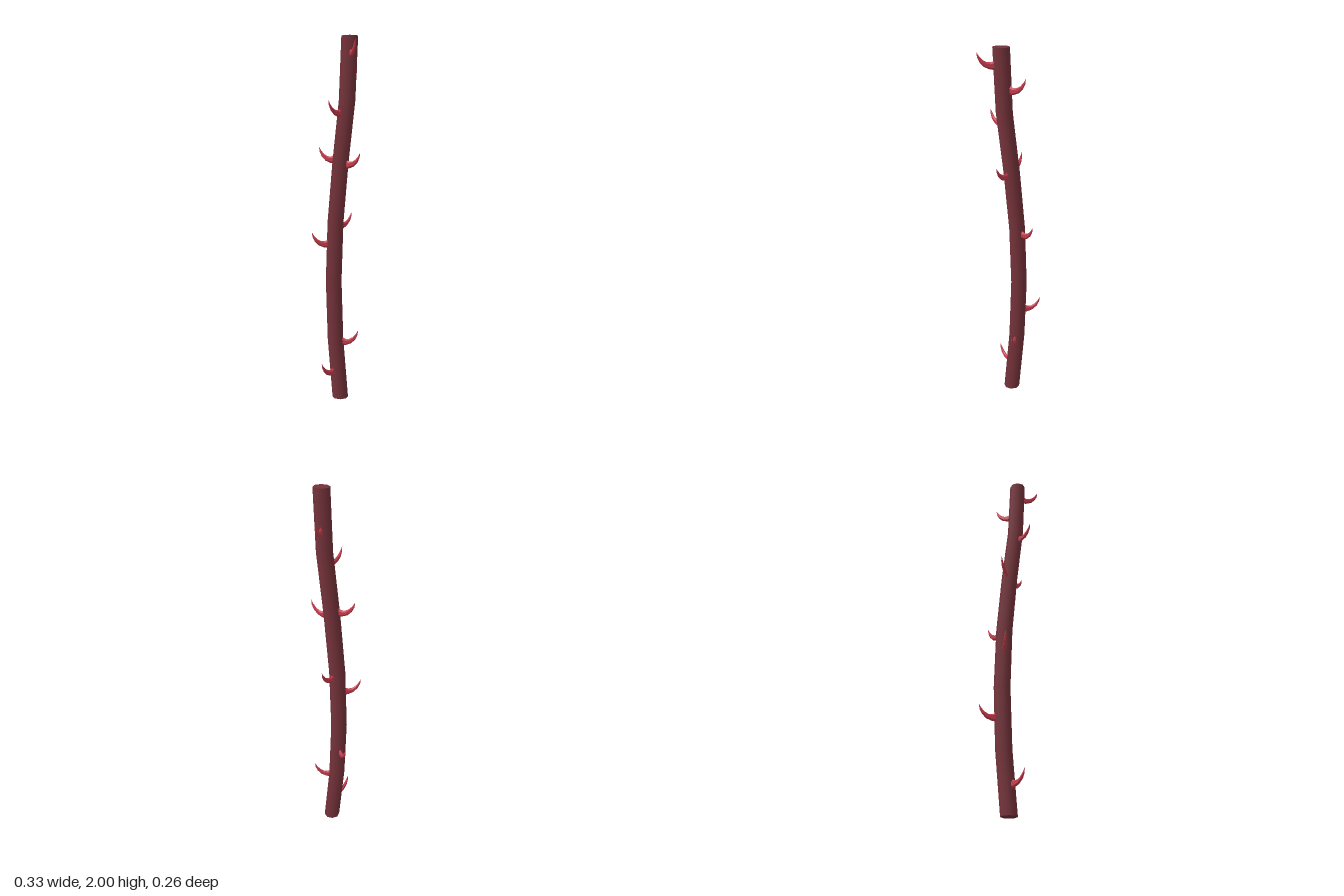
import * as THREE from 'three';

const stemMaterial = new THREE.MeshStandardMaterial({ color: 0x74323a });
stemMaterial.name = 'dark bark red';
const thornMaterial = new THREE.MeshStandardMaterial({ color: 0xc43c4c, flatShading: true });
thornMaterial.name = 'thorn red';

// Sideways offset of the stem at seven even heights, bottom to top
const BEND = [-0.008, -0.046, -0.06, -0.045, -0.006, 0.044, 0.063];

function stemX(y) {
  const t = Math.min(Math.max(y / 2, 0), 1) * 6;
  const i = Math.min(Math.floor(t), 5);
  return THREE.MathUtils.lerp(BEND[i], BEND[i + 1], t - i);
}

// Eight-sided stem, sheared ring by ring along the bend
function makeStem() {
  const geometry = new THREE.CylinderGeometry(0.044, 0.044, 2, 8, 6);
  geometry.translate(0, 1, 0);
  const p = geometry.attributes.position;
  for (let i = 0; i < p.count; i++) p.setX(i, p.getX(i) + stemX(p.getY(i)));
  const mesh = new THREE.Mesh(geometry, stemMaterial);
  mesh.name = 'stem';
  return mesh;
}

// Upward-hooked thorn pointing along +x: [distance, height, half height, half width]
function makeThornGeometry() {
  const rings = [
    [0.034, 0, 0.024, 0.009],
    [0.058, -0.003, 0.018, 0.009],
    [0.082, 0.003, 0.014, 0.009],
    [0.104, 0.02, 0.01, 0.008],
    [0.119, 0.042, 0.006, 0.005],
    [0.128, 0.067, 0, 0],
  ];
  const sides = 6;
  const positions = [];
  const index = [];
  rings.forEach(([x, y, h, w], i) => {
    const a = rings[Math.max(i - 1, 0)];
    const b = rings[Math.min(i + 1, rings.length - 1)];
    const slope = i === 0 ? 0 : Math.atan2(b[1] - a[1], b[0] - a[0]);
    for (let j = 0; j < sides; j++) {
      const angle = (j / sides) * Math.PI * 2;
      const n = h * Math.cos(angle);
      positions.push(x - n * Math.sin(slope), y + n * Math.cos(slope), w * Math.sin(angle));
      if (i === rings.length - 1) continue;
      const k = (j + 1) % sides;
      const p = i * sides + j, q = i * sides + k;
      index.push(p, q, p + sides);
      if (i < rings.length - 2) index.push(q, q + sides, p + sides);
    }
  });
  const geometry = new THREE.BufferGeometry();
  geometry.setAttribute('position', new THREE.Float32BufferAttribute(positions, 3));
  geometry.setIndex(index);
  geometry.computeVertexNormals();
  return geometry;
}

// Thorn height and heading in degrees, turning from +x towards +z
const THORNS = [
  [0.155, 90], [0.32, -36], [0.5, -149], [0.88, 130], [0.98, -90],
  [1.325, -11], [1.35, 156], [1.6, 90], [1.785, -113], [1.91, 31],
];

export function createModel() {
  const model = new THREE.Group();
  model.name = 'thornyBranch';
  model.add(makeStem());

  const thornGeometry = makeThornGeometry();
  THORNS.forEach(([y, heading], i) => {
    const thorn = new THREE.Mesh(thornGeometry, thornMaterial);
    thorn.name = `thorn${i + 1}`;
    thorn.position.set(stemX(y), y, 0);
    thorn.rotation.y = -THREE.MathUtils.degToRad(heading);
    model.add(thorn);
  });
  return model;
}
